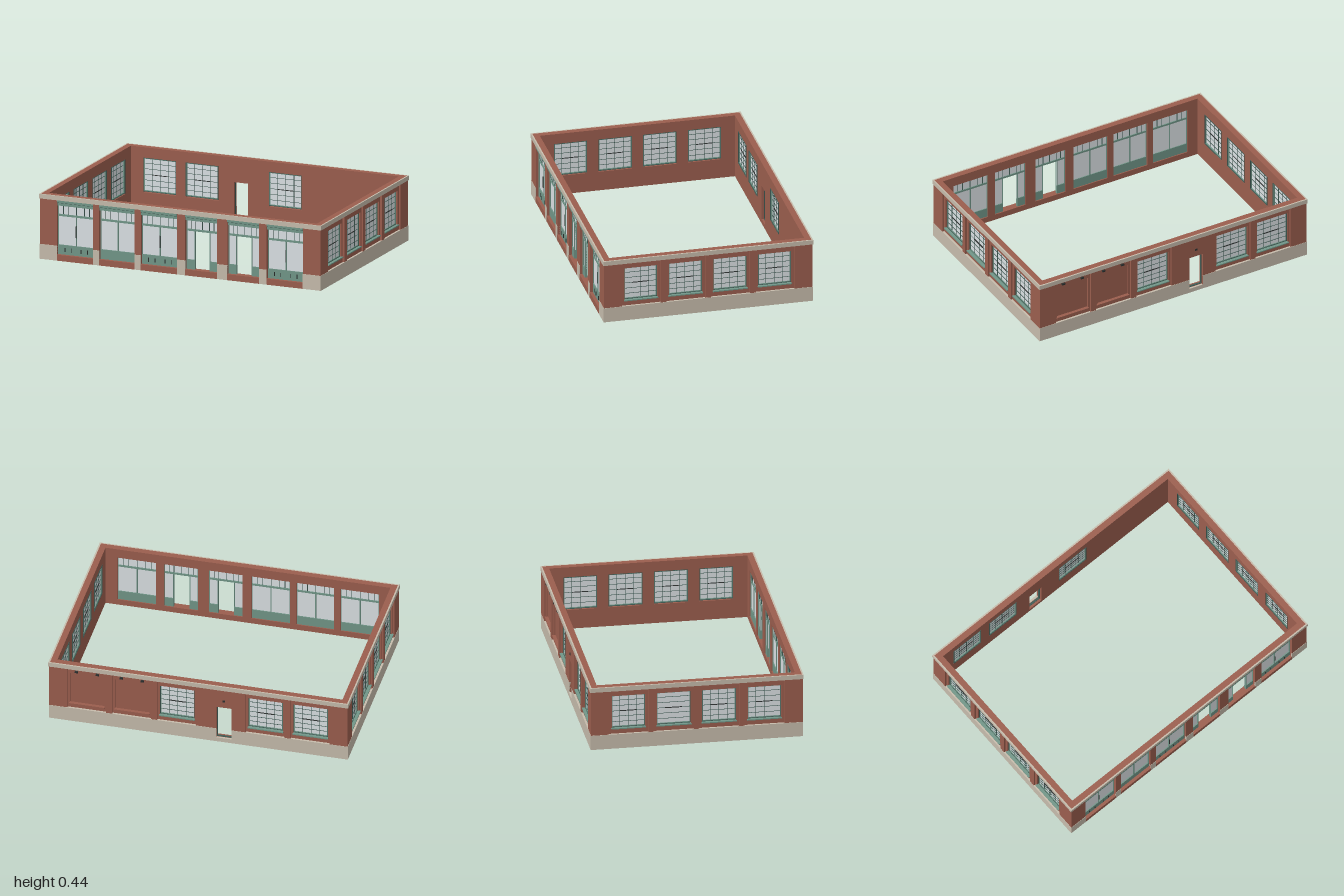
import * as THREE from 'three';

const mat = (name, color) => {
  const m = new THREE.MeshStandardMaterial({ color });
  m.name = name;
  return m;
};

export function createModel() {
  const brick = mat('brick', 0x9b5e4e);
  const stone = mat('stone', 0xc6bcac);
  const green = mat('green paint', 0x719688);
  const dark = mat('dark green frame', 0x3f5a53);
  const glass = mat('glass', 0xdbe1e4);
  const iron = mat('dark metal', 0x2d3130);

  const H = 0.435, PIER = 0.405, BASE = 0.1, T = 0.05;

  // Box given by its limits in wall space: x along the wall, y up, z outward
  const box = (g, name, m, x0, x1, y0, y1, z0, z1) => {
    const mesh = new THREE.Mesh(new THREE.BoxGeometry(x1 - x0, y1 - y0, z1 - z0), m);
    mesh.position.set((x0 + x1) / 2, (y0 + y1) / 2, (z0 + z1) / 2);
    mesh.name = name;
    g.add(mesh);
  };

  // Brick wall with rectangular openings [x0, x1, y0, y1]
  const wallCore = (g, half, z, holes) => {
    const rect = (C, x0, x1, y0, y1) => {
      const p = new C();
      p.moveTo(x0, y0); p.lineTo(x1, y0); p.lineTo(x1, y1); p.lineTo(x0, y1);
      p.closePath();
      return p;
    };
    const s = rect(THREE.Shape, -half, half, 0, H);
    holes.forEach(h => s.holes.push(rect(THREE.Path, ...h)));
    const depth = T - 0.017;
    const mesh = new THREE.Mesh(new THREE.ExtrudeGeometry(s, { depth, bevelEnabled: false }), brick);
    mesh.position.z = z - T;
    mesh.name = 'brickWall';
    g.add(mesh);
  };

  // Solid stretches left between openings
  const gaps = (half, spans) => {
    const out = [];
    let x = -half;
    [...spans].sort((a, b) => a[0] - b[0]).forEach(([a, b]) => { out.push([x, a]); x = b; });
    out.push([x, half]);
    return out;
  };

  const frame = (g, name, m, x0, x1, y0, y1, z0, z1, w) => {
    box(g, name, m, x0, x0 + w, y0, y1, z0, z1);
    box(g, name, m, x1 - w, x1, y0, y1, z0, z1);
    box(g, name, m, x0 + w, x1 - w, y0, y0 + w, z0, z1);
    box(g, name, m, x0 + w, x1 - w, y1 - w, y1, z0, z1);
  };

  // Factory window: 4 by 6 panes with a hinged middle section
  const gridWindow = (g, x0, x1, z) => {
    const y0 = 0.14, y1 = 0.365, w = x1 - x0, h = y1 - y0, t = 0.0012;
    box(g, 'windowGlass', glass, x0, x1, y0, y1, z - 0.04, z - 0.035);
    frame(g, 'windowFrame', dark, x0, x1, y0, y1, z - 0.053, z - 0.027, 0.003);
    frame(g, 'windowTrim', green, x0 + 0.003, x1 - 0.003, y0 + 0.003, y1 - 0.003, z - 0.047, z - 0.03, 0.004);
    for (let i = 1; i < 4; i++) {
      const x = x0 + w * i / 4;
      box(g, 'windowBar', dark, x - t, x + t, y0, y1, z - 0.043, z - 0.032);
    }
    for (let i = 1; i < 6; i++) {
      const y = y0 + h * i / 6;
      box(g, 'windowBar', dark, x0, x1, y - t, y + t, z - 0.043, z - 0.032);
    }
    const sash = y0 + h / 2;
    box(g, 'hingedSash', iron, x0 + w / 4, x1 - w / 4, sash - 0.002, sash + 0.002, z - 0.045, z - 0.029);
    box(g, 'windowSill', green, x0 - 0.004, x1 + 0.004, 0.133, 0.14, z - 0.03, z - 0.006);
  };

  // Shop front filling one bay; optional open doorway [x0, x1]
  const shopFront = (g, x0, x1, z, door, handle) => {
    const zi = z - 0.043, zo = z - 0.024, mid = (x0 + x1) / 2, w = x1 - x0;
    const parts = door ? [[x0, door[0]], [door[1], x1]] : [[x0, x1]];
    parts.forEach(([a, b]) => {
      box(g, 'shopGlass', glass, a, b, 0.1, 0.3, z - 0.037, z - 0.031);
      box(g, 'lowerPanel', green, a, b, 0.04, 0.1, zi, zo);
      frame(g, 'shopFrame', green, a, b, 0.1, 0.3, zi, zo, 0.004);
    });
    box(g, 'transomGlass', glass, x0, x1, 0.3, 0.37, z - 0.037, z - 0.031);
    box(g, 'transomRail', green, x0, x1, 0.296, 0.305, zi, zo);
    frame(g, 'transomFrame', green, x0, x1, 0.305, 0.37, zi, zo, 0.004);
    [0.14, 0.28, 0.5, 0.72, 0.86].forEach(f => {
      const x = x0 + w * f;
      box(g, 'transomBar', dark, x - 0.0015, x + 0.0015, 0.305, 0.37, z - 0.041, z - 0.027);
    });
    if (!door) box(g, 'middleBar', green, mid - 0.003, mid + 0.003, 0.1, 0.3, zi, zo);
    if (handle) {
      box(g, 'handleBar', iron, mid - 0.002, mid + 0.002, 0.16, 0.24, zo, zo + 0.004);
      [-0.08, -0.035, 0.035, 0.08].forEach(d =>
        box(g, 'panelVent', iron, mid + d - 0.002, mid + d + 0.002, 0.058, 0.085, zo, zo + 0.004));
    }
    // Stepped green header and brick plinth
    box(g, 'header', green, x0, x1, 0.368, 0.386, z - 0.03, z - 0.012);
    box(g, 'headerGroove', dark, x0, x1, 0.386, 0.39, z - 0.03, z - 0.009);
    box(g, 'header', green, x0, x1, 0.39, 0.405, z - 0.03, z - 0.002);
    box(g, 'plinth', brick, x0, x1, 0, 0.04, z - 0.02, z - 0.003);
  };

  const addPiers = (g, half, z, bays) => gaps(half, bays).forEach(([a, b]) =>
    box(g, 'brickPier', brick, a, b, 0, PIER, z - 0.018, z - 0.005));
  // Brick parapet with a thin stone band along its outer edge
  const addCornice = (g, half, z) => {
    box(g, 'parapet', brick, 0.01 - half, half - 0.01, PIER, H, z - 0.018, z - 0.01);
    box(g, 'cornice', stone, -half, half, PIER, H, z - 0.01, z);
  };
  const addBase = (g, half, z, openings) => gaps(half, openings).forEach(([a, b]) =>
    box(g, 'stoneBase', stone, a, b, 0, BASE, z - 0.018, z - 0.003));

  const model = new THREE.Group();
  model.name = 'building';
  const wall = (name, turn) => {
    const g = new THREE.Group();
    g.name = name;
    g.rotation.y = turn;
    model.add(g);
    return g;
  };
  const Z = 0.7, X = 1;

  // Front with six shop bays, two of them with doorways
  const front = wall('frontWall', 0);
  const bays = [[-0.874, -0.618], [-0.575, -0.324], [-0.28, -0.024], [0.035, 0.26], [0.334, 0.559], [0.612, 0.869]];
  const doors = { 3: [0.095, 0.2], 4: [0.39, 0.497] };
  wallCore(front, X - 0.017, Z, bays.map(([a, b]) => [a, b, 0.04, 0.37]));
  addPiers(front, X - 0.017, Z, bays);
  addBase(front, X - 0.003, Z, bays);
  addCornice(front, X, Z);
  bays.forEach(([a, b], i) => shopFront(front, a, b, Z, doors[i], i !== 1 && !doors[i]));

  // Back with three windows, a doorway and two bricked-up bays (x runs the other way)
  const back = wall('backWall', Math.PI);
  const backWindows = [[-0.26, -0.03], [0.33, 0.56], [0.63, 0.86]];
  const blind = [[-0.86, -0.63], [-0.56, -0.33]];
  const doorway = [0.12, 0.22];
  const backBays = [...backWindows, ...blind].map(([a, b]) => [a - 0.015, b + 0.015]);
  wallCore(back, X - 0.017, Z, [
    ...[...backWindows, ...blind].map(([a, b]) => [a, b, 0.133, 0.365]),
    [...doorway, 0.03, 0.27]]);
  addPiers(back, X - 0.017, Z, [...backBays, doorway]);
  box(back, 'doorHead', brick, ...doorway, 0.27, PIER, Z - 0.018, Z - 0.005);
  addBase(back, X - 0.003, Z, [doorway]);
  box(back, 'doorStep', stone, ...doorway, 0, 0.03, Z - 0.018, Z - 0.003);
  frame(back, 'doorFrame', dark, ...doorway, 0.03, 0.27, Z - 0.035, Z - 0.02, 0.003);
  box(back, 'doorLamp', iron, 0.162, 0.178, 0.315, 0.328, Z - 0.006, Z - 0.001);
  addCornice(back, X, Z);
  backWindows.forEach(([a, b]) => gridWindow(back, a, b, Z));
  blind.forEach(([a, b]) => {
    box(back, 'brickInfill', brick, a, b, 0.133, 0.365, Z - T, Z - 0.028);
    box(back, 'infillSill', brick, a - 0.004, b + 0.004, 0.124, 0.135, Z - 0.03, Z - 0.006);
    [a + 0.045, b - 0.045].forEach(x =>
      box(back, 'wallBracket', iron, x - 0.01, x + 0.01, 0.378, 0.39, Z - 0.018, Z - 0.006));
  });

  // Matching sides with four windows each
  const sideBays = [[-0.575, -0.317], [-0.279, -0.018], [0.018, 0.279], [0.317, 0.575]];
  [['rightWall', 1], ['leftWall', -1]].forEach(([name, s]) => {
    const g = wall(name, s * Math.PI / 2);
    const windows = sideBays.map(([a, b]) => [a + 0.019, b - 0.019]);
    wallCore(g, Z - T, X, windows.map(([a, b]) => [a, b, 0.133, 0.365]));
    addPiers(g, Z - 0.005, X, sideBays);
    addBase(g, Z - 0.003, X, []);
    addCornice(g, Z, X);
    windows.forEach(([a, b]) => gridWindow(g, a, b, X));
  });

  return model;
}
